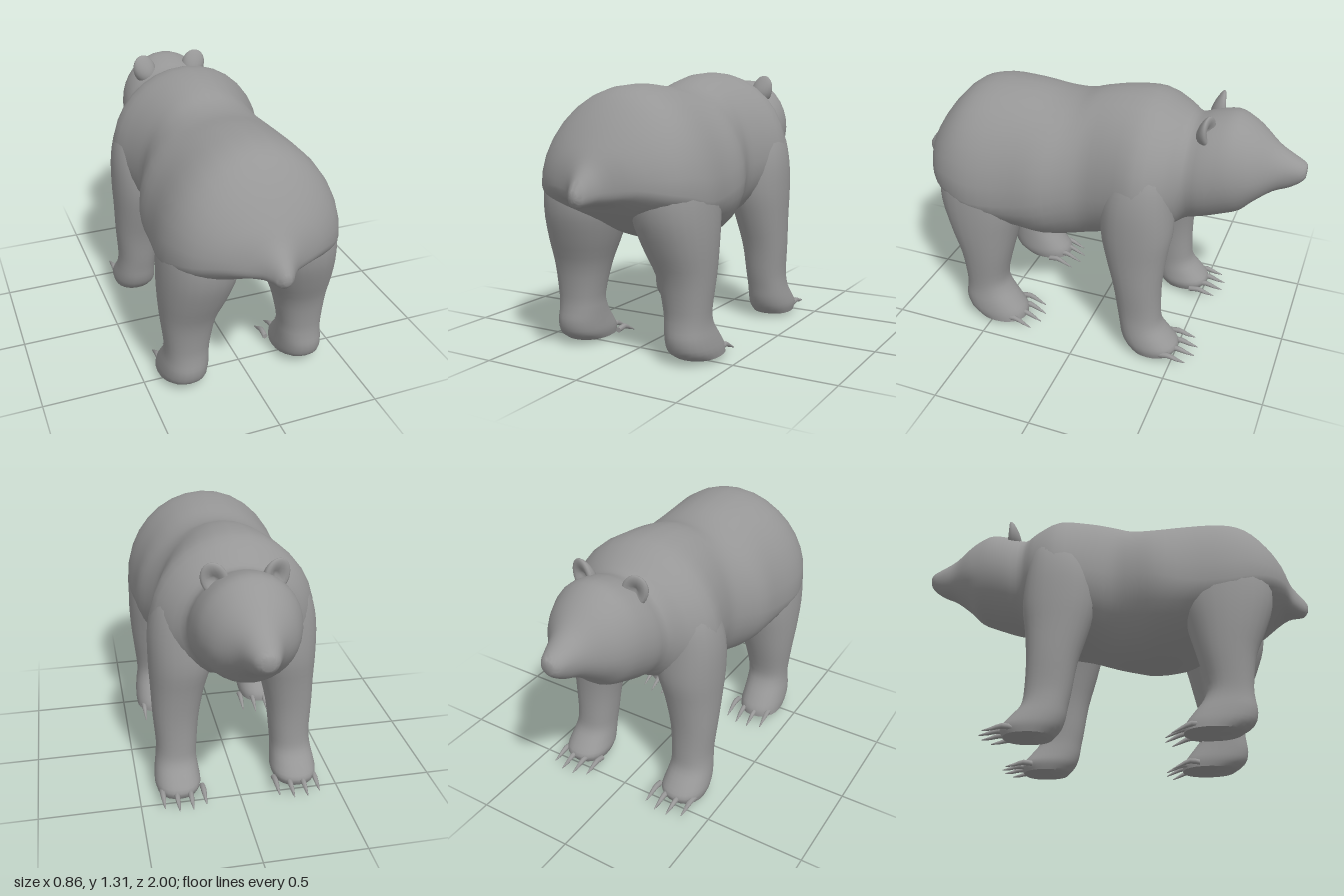
import * as THREE from 'three';
import { toCreasedNormals } from 'three/addons/utils/BufferGeometryUtils.js';

const material = new THREE.MeshStandardMaterial({ color: 0x979797 });

// Smooth the section table by interpolating every column with a Catmull-Rom rule
function refine(rows, steps) {
  const out = [];
  const at = (i) => rows[THREE.MathUtils.clamp(i, 0, rows.length - 1)];
  for (let i = 0; i < rows.length - 1; i++) {
    const [a, b, c, d] = [at(i - 1), at(i), at(i + 1), at(i + 2)];
    for (let s = 0; s < steps; s++) {
      const t = s / steps;
      out.push(b.map((v, k) => {
        const cubic = 3 * (v - c[k]) + d[k] - a[k];
        const square = 2 * a[k] - 5 * v + 4 * c[k] - d[k];
        return v + 0.5 * t * (c[k] - a[k] + t * (square + t * cubic));
      }));
    }
  }
  out.push(at(rows.length - 1));
  return out;
}

// Skin a closed surface over rings; point(row, cos, sin) places each vertex
function loft(rows, point, { sides = 28, steps = 3, power = 1 } = {}) {
  const rings = refine(rows, steps);
  const points = [], index = [];
  const soft = (v) => Math.sign(v) * Math.pow(Math.abs(v), power);
  for (const row of rings) {
    for (let j = 0; j < sides; j++) {
      const a = (j / sides) * Math.PI * 2;
      points.push(new THREE.Vector3(...point(row, soft(Math.cos(a)), soft(Math.sin(a)))));
    }
  }
  const last = (rings.length - 1) * sides, cap = rings.length * sides;
  points.push(new THREE.Vector3(...point(rings[0], 0, 0)), new THREE.Vector3(...point(rings.at(-1), 0, 0)));
  for (let j = 0; j < sides; j++) {
    const k = (j + 1) % sides;
    for (let i = 0; i < last; i += sides) {
      index.push(i + j, i + k, i + sides + j, i + k, i + sides + k, i + sides + j);
    }
    index.push(cap, k, j, cap + 1, last + j, last + k);
  }
  // A negative enclosed volume means the faces point inward
  let volume = 0;
  for (let i = 0; i < index.length; i += 3) {
    const [a, b, c] = [points[index[i]], points[index[i + 1]], points[index[i + 2]]];
    volume += a.dot(b.clone().cross(c));
  }
  if (volume < 0) index.reverse();
  const geo = new THREE.BufferGeometry().setFromPoints(points);
  geo.setIndex(index);
  return toCreasedNormals(geo, 1.0);
}

function part(name, geometry, parent) {
  const mesh = new THREE.Mesh(geometry, material);
  mesh.name = name;
  parent.add(mesh);
  return mesh;
}

// Trunk rows: z, top, bottom, half width, height of the widest point
const trunkPoint = ([z, top, bottom, half, mid], c, s) =>
  [half * c, mid + s * (s > 0 ? top - mid : mid - bottom), z];
// Leg rows: y, inner x, outer x, front z, back z
const legPoint = (side) => ([y, xi, xo, zf, zb], c, s) =>
  [side * ((xi + xo) / 2 + c * (xo - xi) / 2), y, (zf + zb) / 2 + s * (zb - zf) / 2];

const HEAD = [
  [-1, 1.055, 0.99, 0.03, 1.02], [-0.98, 1.07, 0.965, 0.052, 1.02], [-0.93, 1.095, 0.93, 0.075, 1.02],
  [-0.86, 1.135, 0.9, 0.11, 1.01], [-0.78, 1.2, 0.84, 0.18, 1], [-0.72, 1.24, 0.78, 0.215, 1],
  [-0.65, 1.265, 0.75, 0.24, 1], [-0.55, 1.245, 0.715, 0.255, 0.97], [-0.47, 1.218, 0.69, 0.258, 0.95],
];
const BODY = [
  [-0.4, 1.25, 0.65, 0.335, 0.92], [-0.28, 1.305, 0.59, 0.4, 0.88],
  [-0.13, 1.305, 0.55, 0.36, 0.87], [0, 1.28, 0.505, 0.335, 0.85], [0.1, 1.245, 0.485, 0.365, 0.83],
  [0.22, 1.235, 0.475, 0.41, 0.8], [0.38, 1.255, 0.51, 0.415, 0.76], [0.56, 1.255, 0.575, 0.43, 0.75],
  [0.68, 1.215, 0.635, 0.405, 0.78], [0.78, 1.12, 0.69, 0.345, 0.8],
];
const TAIL = [
  [0.86, 1.01, 0.738, 0.235, 0.82], [0.91, 0.93, 0.745, 0.11, 0.81],
  [0.95, 0.88, 0.742, 0.062, 0.8], [0.98, 0.845, 0.745, 0.04, 0.79], [1, 0.815, 0.77, 0.018, 0.79],
];
const FRONT_LEG = [
  [0.02, 0.2, 0.405, -0.5, -0.27], [0.06, 0.185, 0.415, -0.515, -0.235], [0.11, 0.19, 0.41, -0.475, -0.215],
  [0.17, 0.195, 0.4, -0.425, -0.205], [0.25, 0.19, 0.395, -0.412, -0.19], [0.4, 0.175, 0.405, -0.41, -0.165],
  [0.56, 0.14, 0.41, -0.425, -0.12], [0.7, 0.1, 0.415, -0.445, -0.09], [0.86, 0.1, 0.41, -0.435, -0.1],
  [1, 0.1, 0.375, -0.415, -0.14], [1.12, 0.12, 0.3, -0.37, -0.18],
];
const HIND_LEG = [
  [0.02, 0.2, 0.42, 0.33, 0.6], [0.06, 0.19, 0.422, 0.335, 0.655], [0.12, 0.19, 0.415, 0.38, 0.672],
  [0.18, 0.19, 0.405, 0.425, 0.665], [0.25, 0.187, 0.405, 0.442, 0.663], [0.4, 0.155, 0.42, 0.41, 0.685],
  [0.54, 0.1, 0.43, 0.375, 0.74], [0.68, 0.06, 0.43, 0.34, 0.785], [0.82, 0.06, 0.415, 0.34, 0.785],
  [0.95, 0.08, 0.37, 0.38, 0.74], [1.05, 0.12, 0.3, 0.45, 0.66],
];

// Tapered claw curving forward and down from the toe
function clawGeometry(x, y, z, drop) {
  const rows = [[0, 0, 0.014], [0.05, 0.008, 0.014], [0.1, -drop * 0.4, 0.009], [0.14, -drop, 0.002]];
  return loft(rows, ([d, h, r], c, s) => [x + r * c, y + h + r * s, z - d], { sides: 8, steps: 2 });
}

// Rounded ear, thicker toward its base and dished on its forward side
function earGeometry() {
  const geo = new THREE.SphereGeometry(1, 20, 14);
  const p = geo.attributes.position;
  for (let i = 0; i < p.count; i++) {
    const r = Math.hypot(p.getX(i), p.getY(i));
    const dish = p.getZ(i) < 0 ? r - 0.3 : 1;
    p.setZ(i, p.getZ(i) * dish * (1 - 0.5 * p.getY(i)));
  }
  geo.scale(0.062, 0.08, 0.05);
  geo.computeVertexNormals();
  return geo;
}

export function createModel() {
  const bear = new THREE.Group();
  bear.name = 'bear';

  // One continuous skin from muzzle to tail
  part('headBodyAndTail', loft([...HEAD, ...BODY, ...TAIL], trunkPoint, { sides: 32 }), bear);

  // Mirrored parts; the bear looks toward -z, so its own left is -x
  for (const side of [-1, 1]) {
    const label = side < 0 ? 'left' : 'right';
    const ear = part(label + 'Ear', earGeometry(), bear);
    ear.position.set(side * 0.138, 1.213, -0.555);
    ear.rotation.set(-0.05, side * -0.2, side * -0.3);

    for (const [name, rows, toeZ, toeY, drop] of [
      ['FrontLeg', FRONT_LEG, -0.455, 0.045, 0.012],
      ['HindLeg', HIND_LEG, 0.4, 0.035, 0.033],
    ]) {
      const leg = new THREE.Group();
      leg.name = label + name;
      bear.add(leg);
      part('limbAndPaw', loft(rows, legPoint(side), { sides: 24, power: 0.9 }), leg);
      // Four claws fanned across the toes
      for (let i = 0; i < 4; i++) {
        const arc = i === 1 || i === 2 ? -0.015 : 0.015;
        part('claw' + (i + 1), clawGeometry(side * (0.185 + i * 0.068), toeY, toeZ + arc, drop), leg);
      }
    }
  }
  return bear;
}
